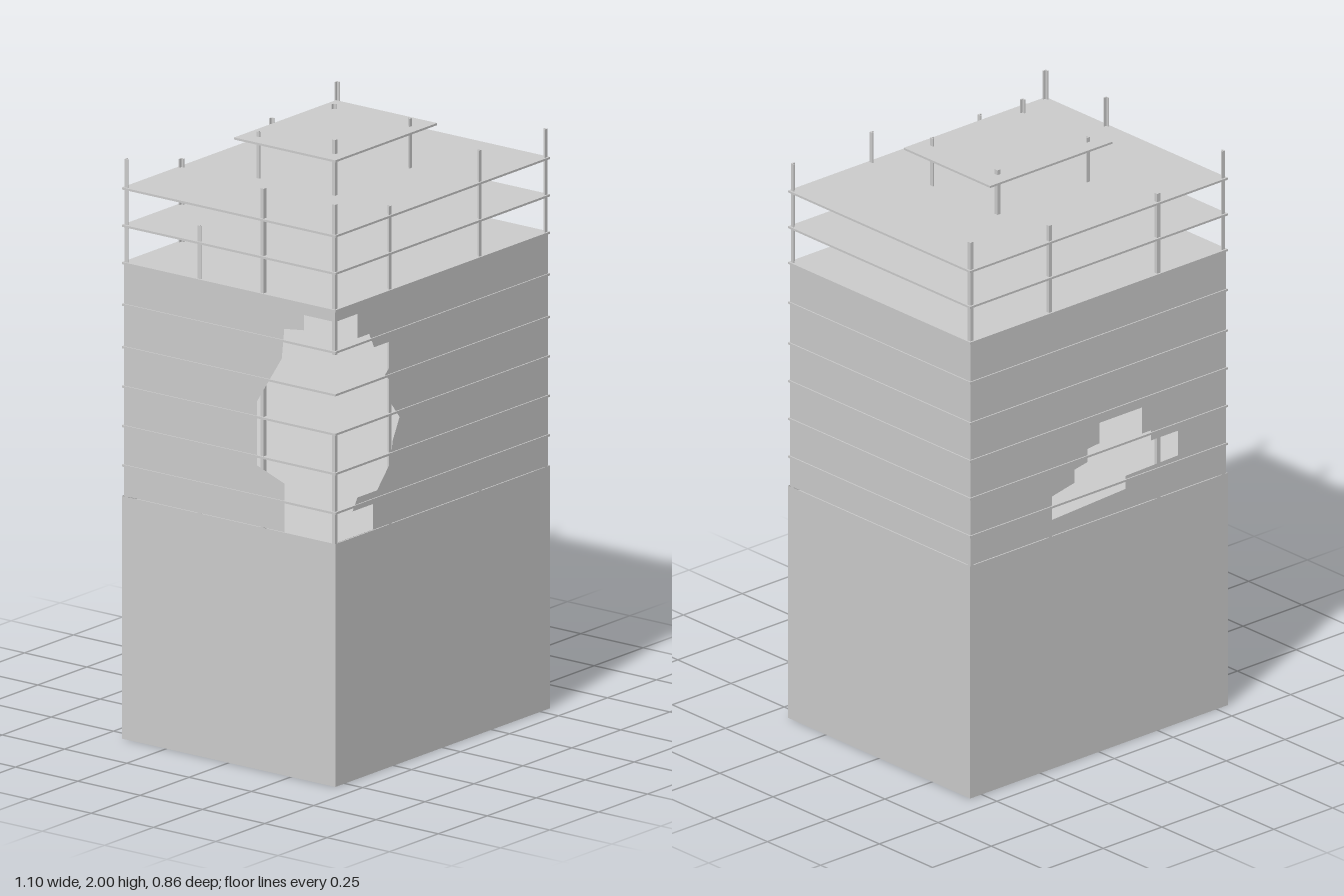
import * as THREE from 'three';

const mat = new THREE.MeshStandardMaterial({ color: 0xcccccc, flatShading: true, side: THREE.DoubleSide });

// outer half sizes of floors and base; upper walls sit slightly inside them
const HX = 0.548, HZ = 0.428, INSET = 0.004;
const BASE_TOP = 0.8, ROOF = 1.57;

const toPoints = list => list.map(([x, y]) => new THREE.Vector2(x, y));

function add(parent, name, geometry, x = 0, y = 0, z = 0) {
  const mesh = new THREE.Mesh(geometry, mat);
  mesh.name = name;
  mesh.position.set(x, y, z);
  parent.add(mesh);
  return mesh;
}

// flat wall sheet from an outline, turned to face outwards at a given distance
function wall(parent, name, outline, angle, distance, hole) {
  const shape = new THREE.Shape(toPoints(outline));
  if (hole) shape.holes.push(new THREE.Path(toPoints(hole)));
  const geometry = new THREE.ShapeGeometry(shape);
  geometry.translate(0, 0, distance);
  geometry.rotateY(angle);
  return add(parent, name, geometry);
}

const rect = (h, y0, y1) => [[-h, y0], [h, y0], [h, y1], [-h, y1]];

// thin angle-iron post, its corner pointing towards (sx, sz)
function post(parent, name, x, z, y0, y1, sx, sz, w = 0.013) {
  const t = 0.004;
  const shape = new THREE.Shape(toPoints([[0, 0], [-w, 0], [-w, -t], [-t, -t], [-t, -w], [0, -w]]
    .map(([a, b]) => [a * sx, -b * sz])));
  const geometry = new THREE.ExtrudeGeometry(shape, { depth: y1 - y0, bevelEnabled: false });
  geometry.rotateX(-Math.PI / 2);
  return add(parent, name, geometry, x, y0, z);
}

export function createModel() {
  const model = new THREE.Group();
  model.name = 'damagedTower';

  const sides = [
    ['front', 0, HX, HZ], ['back', Math.PI, HX, HZ],
    ['left', Math.PI / 2, HZ, HX], ['right', -Math.PI / 2, HZ, HX],
  ];

  // lower block, open underneath
  const base = new THREE.Group();
  base.name = 'baseBlock';
  for (const [side, angle, half, dist] of sides) {
    wall(base, side + 'BaseWall', rect(half, 0, BASE_TOP), angle, dist);
  }
  model.add(base);

  // upper walls: broken corner at front right, stepped hole in the back
  const ux = HX - INSET, uz = HZ - INSET;
  const frontOutline = [
    [-ux, BASE_TOP], [ux, BASE_TOP], [ux, ROOF], [-ux, ROOF], [-ux, 1.53],
    [-0.43, 1.53], [-0.43, 1.45], [-0.37, 1.45], [-0.345, 1.4], [-0.262, 1.4],
    [-0.262, 1.32], [-0.29, 1.295], [-0.262, 1.27], [-0.255, 1.19], [-0.215, 1.14],
    [-0.25, 1.07], [-0.262, 1.0], [-0.33, 0.925], [-0.43, 0.925], [-0.455, 0.885],
    [-0.35, 0.885], [-0.35, BASE_TOP + 0.001], [-ux, BASE_TOP + 0.001],
  ];
  const rightOutline = [
    [-uz, BASE_TOP], [0.22, BASE_TOP], [0.22, 0.96], [0.11, 1.0], [0.11, 1.21], [0.21, 1.37],
    [0.22, 1.47], [0.3, 1.48], [0.3, 1.53], [uz, 1.53], [uz, ROOF], [-uz, ROOF],
  ];
  const backHole = [
    [0.2, 0.855], [0.2, 0.935], [0.1, 0.955], [0.1, 1.0], [0.046, 1.01], [0.046, 1.055],
    [-0.005, 1.06], [-0.005, 1.13], [-0.186, 1.13], [-0.186, 1.04], [-0.225, 1.04],
    [-0.225, 1.005], [-0.34, 1.005], [-0.34, 0.92], [-0.116, 0.915], [-0.116, 0.87],
  ].map(([x, y]) => [-x, y]);
  const outlines = { front: frontOutline, right: rightOutline };
  for (const [side, angle, half, dist] of sides) {
    const outline = outlines[side] || rect(half - INSET, BASE_TOP, ROOF);
    wall(model, side + 'UpperWall', outline, angle, dist - INSET, side === 'back' ? backHole : null);
  }

  // floor slabs, including the bare storeys on top
  const floors = new THREE.Group();
  floors.name = 'floorSlabs';
  for (const y of [0.77, 0.9, 1.03, 1.16, 1.29, 1.43, ROOF - 0.003, 1.69, 1.813]) {
    const grow = y < BASE_TOP ? -0.004 : 0;
    add(floors, 'floorSlab', new THREE.BoxGeometry((HX + grow) * 2, 0.007, (HZ + grow) * 2), 0, y, 0);
  }
  model.add(floors);

  // posts: corners, then front and back, then the right side
  const posts = new THREE.Group();
  posts.name = 'posts';
  const px = HX - 0.006, pz = HZ - 0.006, bottom = 0.78;
  for (const [sx, sz] of [[1, 1], [1, -1], [-1, -1]]) {
    post(posts, 'cornerPost', sx * px, sz * pz, bottom, 1.91, sx, sz);
  }
  post(posts, 'brokenCornerPostLower', -px, pz, bottom, 1.16, -1, 1);
  post(posts, 'brokenCornerPostUpper', -px, pz, 1.42, 1.915, -1, 1);
  for (const [x, sz, top] of [[-0.253, 1, 1.845], [0.207, 1, 1.92], [-0.253, -1, 1.845], [0.207, -1, 1.87]]) {
    post(posts, 'facadePost', x, sz * pz, bottom, top, 1, sz);
  }
  post(posts, 'sidePost', -px, 0.136, bottom, 1.915, -1, 1);
  post(posts, 'sidePost', -px, -0.129, bottom, 1.745, -1, -1);
  model.add(posts);

  // raised roof platform on four posts
  const platform = new THREE.Group();
  platform.name = 'roofPlatform';
  add(platform, 'platformSlab', new THREE.BoxGeometry(0.52, 0.007, 0.406), 0.002, 1.95, -0.003);
  for (const [x, z, top] of [[-0.206, 0.158, 2], [0.188, 0.158, 1.98], [-0.206, -0.158, 1.97], [0.188, -0.158, 1.97]]) {
    post(platform, 'platformPost', x, z, ROOF, top, Math.sign(x), Math.sign(z));
  }
  model.add(platform);

  return model;
}
